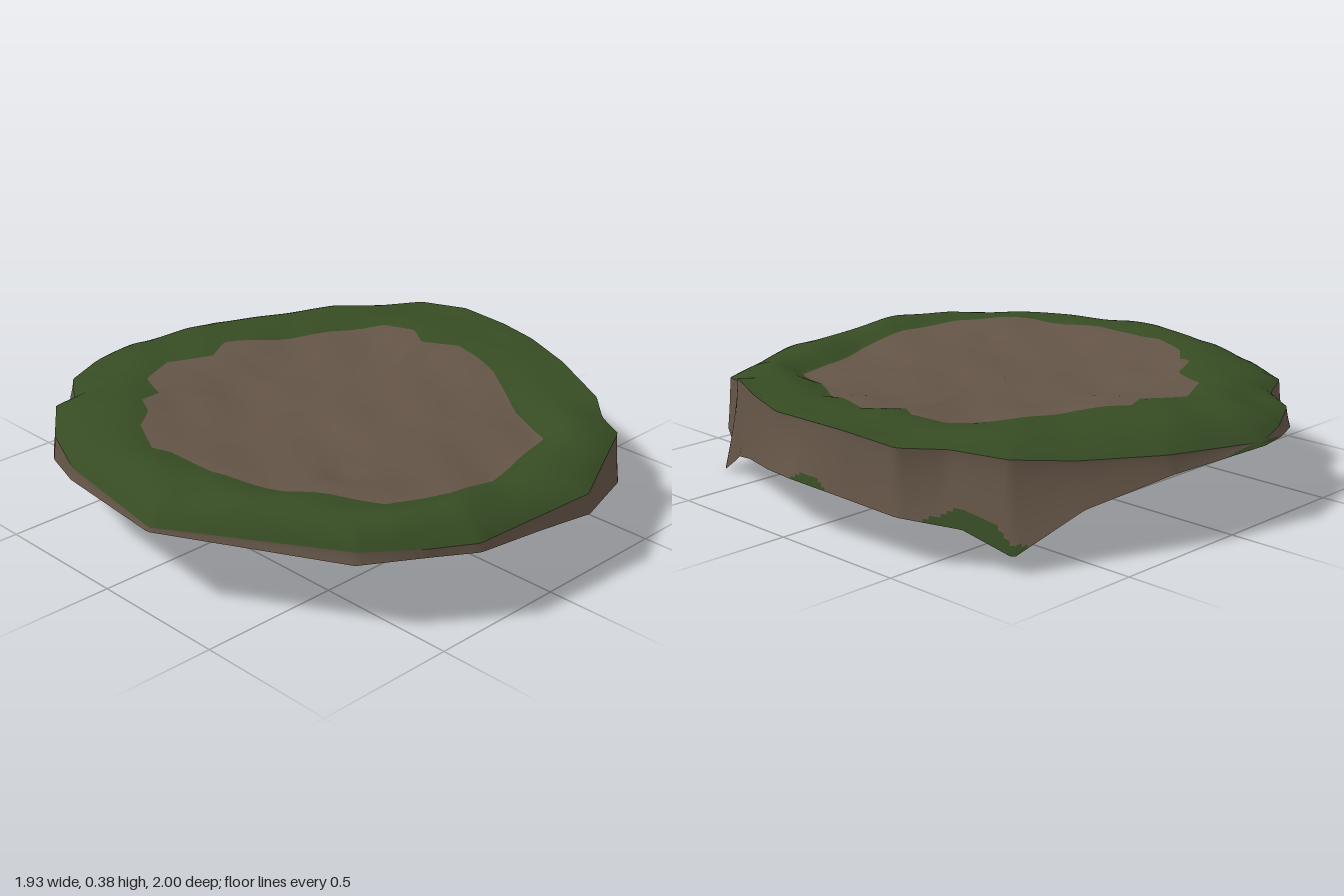
import * as THREE from 'three';

const SEG = 360;

// Closed outlines, ordered by angle from +x towards +z: [x, z, y]
const RIM = [
  [.91, 0, .375], [.893, .15, .365], [.815, .36, .36], [.745, .5, .352], [.685, .62, .345], [.63, .69, .31],
  [.59, .79, .295], [.4, .88, .29], [.18, .99, .29], [-.31, .965, .29], [-.45, .88, .29], [-.62, .745, .29],
  [-.96, .18, .285], [-.89, -.3, .29], [-.8, -.52, .3], [-.675, -.68, .32], [-.57, -.72, .3],
  [-.47, -.86, .3], [-.3, -.95, .29], [-.16, -.99, .275], [.22, -.91, .3], [.48, -.77, .31],
  [.66, -.66, .33], [.76, -.5, .35], [.88, -.4, .36], [.915, -.2, .38],
];
const BASE = [
  [.965, 0, .19], [.935, .15, .18], [.85, .35, .15], [.78, .5, .11], [.72, .6, .06], [.705, .69, 0],
  [.64, .72, .08], [.6, .8, .11], [.4, .9, .17], [.18, 1, .22], [-.05, .99, .245], [-.31, .97, .26],
  [-.45, .88, .26], [-.63, .75, .25], [-.965, .18, .27], [-.9, -.3, .25], [-.81, -.52, .215],
  [-.69, -.69, .17], [-.58, -.73, .2], [-.48, -.87, .23], [-.3, -.96, .255], [-.16, -1, .265],
  [.22, -.93, .24], [.5, -.82, .17], [.73, -.745, .06], [.8, -.6, .13], [.92, -.44, .16], [.95, -.2, .18],
];
const CLEARING = [
  [.66, 0], [.6, .22], [.45, .45], [.38, .64], [.2, .68], [0, .74], [-.2, .74], [-.42, .67], [-.6, .42],
  [-.68, .15], [-.68, -.05], [-.7, -.12], [-.62, -.28], [-.53, -.35], [-.5, -.42], [-.4, -.45],
  [-.35, -.58], [-.2, -.65], [-.05, -.57], [.05, -.62], [.2, -.52], [.42, -.43], [.6, -.33],
  [.63, -.2], [.58, -.12],
];

// Local hillocks and hollows: [x, z, height, radius]
const HILLS = [
  [-.5, -.42, .012, .1], [.1, -.58, .015, .14], [-.5, .5, .012, .12], [.55, -.55, .012, .14],
  [-.42, -.82, -.03, .16], [-.36, .42, -.012, .06], [.05, -.38, -.01, .1], [.38, .4, .008, .1],
  [-.8, .0, .01, .12], [-.25, .82, .018, .12], [0, .82, -.006, .1], [.66, -.22, .01, .1],
];

// Where the ray at this angle crosses an outline
function cross(outline, angle) {
  const dx = Math.cos(angle), dz = Math.sin(angle);
  for (let i = 0; i < outline.length; i++) {
    const p = outline[i], q = outline[(i + 1) % outline.length];
    const cp = p[0] * dz - p[1] * dx, cq = q[0] * dz - q[1] * dx;
    if (cp < -1e-9 || cq >= -1e-9) continue;
    const t = cp / (cp - cq);
    const [x, z, y = 0] = p.map((v, k) => v + (q[k] - v) * t);
    if (x * dx + z * dz > 0) return { r: Math.hypot(x, z), y };
  }
  return { r: outline[0][0], y: outline[0][2] ?? 0 };
}

// Uneven ground: fine ripples plus the hillocks
function bumps(x, z) {
  let y = .004 * Math.sin(15 * x - 9 * z) * Math.cos(11 * z + 5 * x + 2)
    + .003 * Math.sin(21 * z + 4 * x) * Math.cos(17 * x - 6 * z);
  for (const [hx, hz, h, r] of HILLS) {
    y += h * Math.exp(-((x - hx) ** 2 + (z - hz) ** 2) / (r * r));
  }
  return y;
}

// Surface made of closed rings; pick(row, angle) gives the material index
function ringSurface(rows, point, pick) {
  const pos = [], lists = [[], []];
  for (let i = 0; i <= rows; i++) {
    for (let j = 0; j < SEG; j++) pos.push(...point(i, j));
  }
  for (let i = 0; i < rows; i++) {
    for (let j = 0; j < SEG; j++) {
      const k = (j + 1) % SEG;
      const a = i * SEG + j, b = i * SEG + k, c = a + SEG, d = b + SEG;
      lists[pick(i, j / SEG * Math.PI * 2)].push(a, b, c, b, d, c);
    }
  }
  const geo = new THREE.BufferGeometry();
  geo.setAttribute('position', new THREE.Float32BufferAttribute(pos, 3));
  geo.setIndex(lists.flat());
  geo.addGroup(0, lists[0].length, 0);
  geo.addGroup(lists[0].length, lists[1].length, 1);
  geo.computeVertexNormals();
  return geo;
}

export function createModel() {
  const earth = new THREE.MeshStandardMaterial({ color: 0x635446, side: THREE.DoubleSide });
  earth.name = 'brown earth';
  const grass = new THREE.MeshStandardMaterial({ color: 0x364b23, side: THREE.DoubleSide });
  grass.name = 'green grass';

  const spokes = Array.from({ length: SEG }, (_, j) => {
    const angle = j / SEG * Math.PI * 2;
    const c = Math.cos(angle), s = Math.sin(angle);
    // The bank is highest at the sides; the clearing dips towards the front
    const front = Math.max(0, .38 * c + .92 * s) ** 3;
    const crest = .375 - .01 * Math.max(0, -s) - .043 * front;
    return {
      c, s, crest, edge: crest - .012 - .028 * front,
      rim: cross(RIM, angle), base: cross(BASE, angle), clearing: cross(CLEARING, angle).r,
    };
  });

  // Ground: flat-bottomed earth bowl, then a grassy bank falling to the rim
  const inner = 28, outer = 18, floor = .328;
  const ground = ringSurface(inner + outer, (i, j) => {
    const { c, s, crest, edge, rim, clearing } = spokes[j];
    let r, y, fade = 1;
    if (i <= inner) {
      const u = i / inner;
      r = Math.max(.002, clearing * u);
      y = floor + (edge - floor) * THREE.MathUtils.smoothstep(u, .4, 1.05);
    } else {
      const u = (i - inner) / outer;
      r = clearing + (rim.r - clearing) * u;
      const bank = edge + (crest - edge) * Math.sin(Math.min(1, u * 2) * Math.PI / 2);
      y = bank + (rim.y - bank) * u ** 4;
      fade = 1 - u ** 4;
    }
    const x = r * c, z = r * s;
    return [x, y + bumps(x, z) * fade, z];
  }, (i) => (i < inner ? 0 : 1));

  // Skirt: flares from the rim to the arched lower edge
  const rows = 20;
  const skirt = ringSurface(rows, (i, j) => {
    const { c, s, rim, base } = spokes[j];
    const v = i / rows;
    const r = rim.r + (base.r - rim.r) * v ** 1.4;
    return [r * c, rim.y + (base.y - rim.y) * v, r * s];
  }, (i, angle) => {
    // Grass creeps up from the east foot and over the back tip
    const a = angle > Math.PI ? angle - Math.PI * 2 : angle;
    const reach = Math.max(
      Math.min(3, 5 - Math.abs(a + .09) * 50),
      Math.min(5, 8 - Math.abs(a + .69) * 45),
      20 - Math.abs(a + 1.73) * 130,
    );
    return rows - i <= reach ? 1 : 0;
  });

  const model = new THREE.Group();
  model.name = 'grassyMound';
  for (const [name, geo] of [['ground', ground], ['skirt', skirt]]) {
    const mesh = new THREE.Mesh(geo, [earth, grass]);
    mesh.name = name;
    model.add(mesh);
  }
  return model;
}
